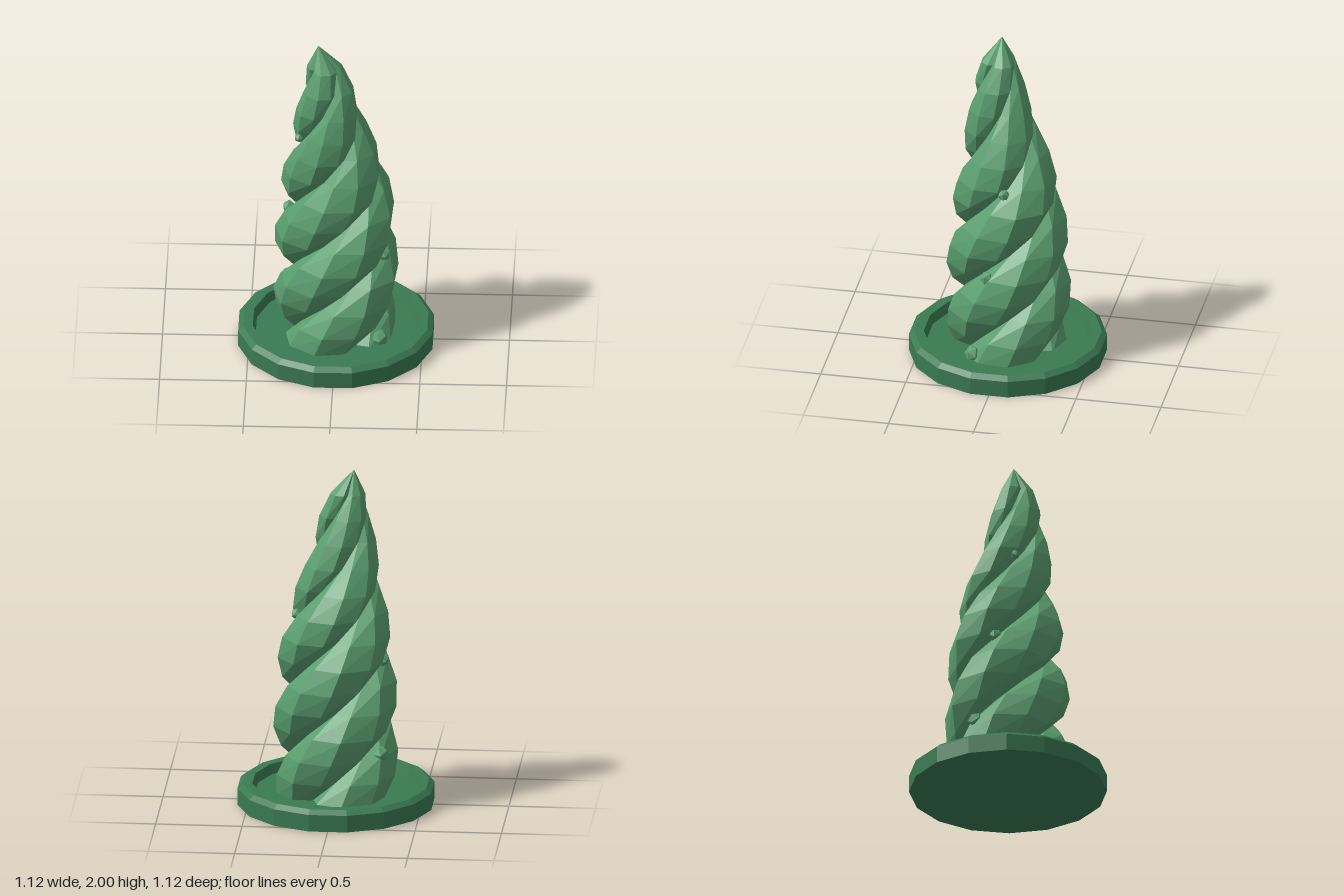
import * as THREE from 'three';

const foliage = new THREE.MeshStandardMaterial({ color: 0x5a9e6f });
foliage.name = 'leafGreen';
const dish = new THREE.MeshStandardMaterial({ color: 0x3a7a52 });
dish.name = 'darkGreen';

// Spine of the spiral: [height, ridge radius, centre x, centre z]
const SPINE = [
  [0.05, 0.337, 0, 0], [0.4, 0.358, 0, 0], [0.7, 0.35, 0, 0], [1.0, 0.32, 0, 0],
  [1.2, 0.28, -0.01, 0.01], [1.4, 0.225, -0.028, 0.035], [1.6, 0.178, -0.042, 0.06],
  [1.75, 0.142, -0.05, 0.066], [1.9, 0.088, -0.068, 0.06], [2.0, 0, -0.1, 0.055],
];
// One lobe: [fraction across the lobe, share of the ridge radius]
const LOBE = [[0, 0.68], [0.13, 0.9], [0.37, 1.02], [0.63, 1.02], [0.87, 0.9]];
const LOBES = 3, RINGS = 14, PITCH = 1.25, GROOVE_Y = 0.8;

function spineAt(y) {
  let k = 0;
  while (k < SPINE.length - 2 && SPINE[k + 1][0] < y) k++;
  const a = SPINE[k], b = SPINE[k + 1];
  const t = (y - a[0]) / (b[0] - a[0]);
  return a.map((v, i) => THREE.MathUtils.lerp(v, b[i], t));
}

function facet(geometry) {
  const g = geometry.index ? geometry.toNonIndexed() : geometry;
  g.computeVertexNormals();
  return g;
}

function add(parent, name, geometry, material) {
  const mesh = new THREE.Mesh(facet(geometry), material);
  mesh.name = name;
  parent.add(mesh);
  return mesh;
}

// Three lobes twisting round the spine, closing to a point
function spiralGeometry() {
  const pos = [], index = [], n = LOBES * LOBE.length;
  for (let j = 0; j <= RINGS; j++) {
    const y = THREE.MathUtils.lerp(0.05, 2, j / RINGS);
    const [, r, cx, cz] = spineAt(y);
    const twist = 2 * Math.PI * (y - GROOVE_Y) / PITCH;
    for (let i = 0; i < n; i++) {
      const [f, s] = LOBE[i % LOBE.length];
      const th = twist + (Math.floor(i / LOBE.length) + f) * 2 * Math.PI / LOBES;
      pos.push(cx + r * s * Math.sin(th), y, cz + r * s * Math.cos(th));
    }
  }
  for (let j = 0; j < RINGS; j++) {
    for (let i = 0; i < n; i++) {
      const a = j * n + i, b = j * n + (i + 1) % n, c = b + n, d = a + n;
      index.push(a, b, d);
      if (j < RINGS - 1) index.push(b, c, d);
    }
  }
  const g = new THREE.BufferGeometry();
  g.setAttribute('position', new THREE.Float32BufferAttribute(pos, 3));
  g.setIndex(index);
  return g;
}

export function createModel() {
  const model = new THREE.Group();
  model.name = 'spiralTopiary';

  // Sixteen-sided dish with a bevelled rim and a sunken floor
  const profile = [[0, 0], [0.571, 0], [0.571, 0.1], [0.54, 0.125], [0.485, 0.125], [0.468, 0.07], [0, 0.07]]
    .map(([x, y]) => new THREE.Vector2(x, y));
  add(model, 'baseDish', new THREE.LatheGeometry(profile, 16, Math.PI / 16), dish);

  add(model, 'twistedColumn', spiralGeometry(), foliage);

  // Small buds resting in the grooves: [angle in degrees, height, distance, size]
  const buds = new THREE.Group();
  buds.name = 'buds';
  model.add(buds);
  [[59, 0.095, 0.3, 0.05], [76, 0.61, 0.285, 0.042], [95, 1.14, 0.225, 0.035],
    [-116, 0.34, 0.3, 0.048], [-93, 0.87, 0.272, 0.038], [-67, 1.4, 0.23, 0.028]]
    .forEach(([deg, y, r, size]) => {
      const th = THREE.MathUtils.degToRad(deg);
      const bud = add(buds, 'bud', new THREE.IcosahedronGeometry(size, 0), foliage);
      bud.position.set(r * Math.sin(th), y, r * Math.cos(th));
      bud.rotation.y = th;
    });

  return model;
}
